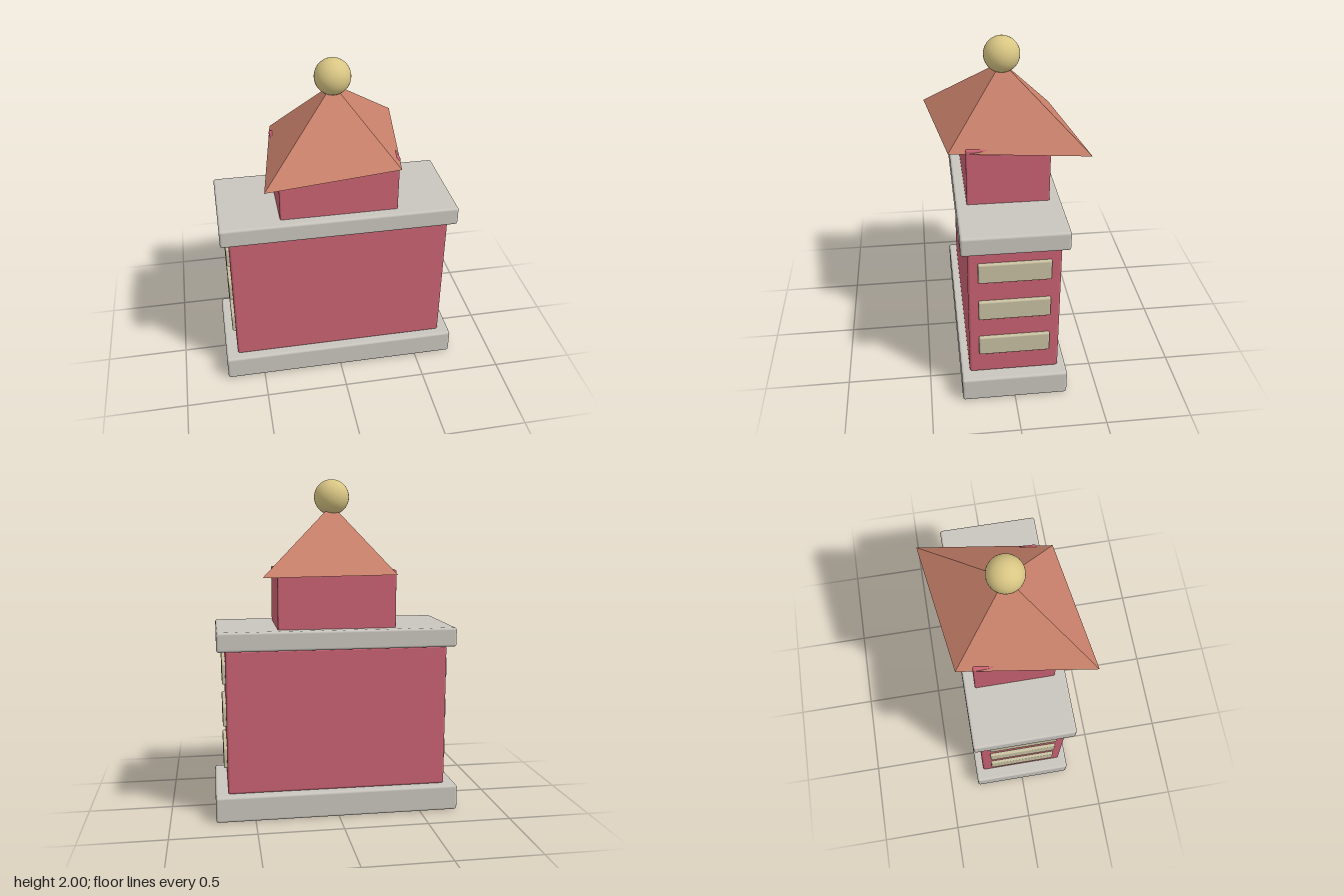
import * as THREE from 'three';
import { RoundedBoxGeometry } from 'three/addons/geometries/RoundedBoxGeometry.js';

function material(name, color) {
  const m = new THREE.MeshStandardMaterial({ color });
  m.name = name;
  return m;
}

export function createModel() {
  const model = new THREE.Group();
  model.name = 'tower';

  const stone = material('stone', 0xc9c5be);
  const red = material('red', 0xc96272);
  const cream = material('cream', 0xc9c1a2);
  const terracotta = material('terracotta', 0xc8806a);
  const gold = material('gold', 0xd9c684);

  function add(name, geometry, mat, x, y, z) {
    const mesh = new THREE.Mesh(geometry, mat);
    mesh.name = name;
    mesh.position.set(x, y, z);
    model.add(mesh);
    return mesh;
  }

  // Rounded block standing between two heights, centred on the axis
  function block(name, mat, halfX, halfZ, y0, y1, radius = 0.015) {
    const geometry = new RoundedBoxGeometry(halfX * 2, y1 - y0, halfZ * 2, 3, radius);
    add(name, geometry, mat, 0, (y0 + y1) / 2, 0);
  }

  block('base', stone, 0.733, 0.313, 0, 0.155);
  block('body', red, 0.66, 0.264, 0.155, 1.018);
  block('ledge', stone, 0.709, 0.303, 1.015, 1.13);
  block('upperStorey', red, 0.351, 0.239, 1.12, 1.472, 0.01);

  // Three wide windows on each end wall
  for (const side of [-1, 1]) {
    for (const y of [0.362, 0.617, 0.872]) {
      const pane = new RoundedBoxGeometry(0.04, 0.126, 0.414, 2, 0.01);
      add(side > 0 ? 'leftWindow' : 'rightWindow', pane, cream, side * 0.66, y, 0);
    }
  }

  // Four-sided roof, stretched along one diagonal
  const cone = new THREE.ConeGeometry(1, 0.4, 4);
  cone.scale(0.45 * Math.SQRT2, 1, 0.335 * Math.SQRT2);
  cone.rotateY(Math.PI / 4);
  const roof = cone.toNonIndexed();
  roof.computeVertexNormals();
  add('roof', roof, terracotta, 0, 1.65, 0);

  // Ball on the peak
  add('finial', new THREE.SphereGeometry(0.105, 32, 20), gold, 0, 1.895, 0);

  return model;
}
